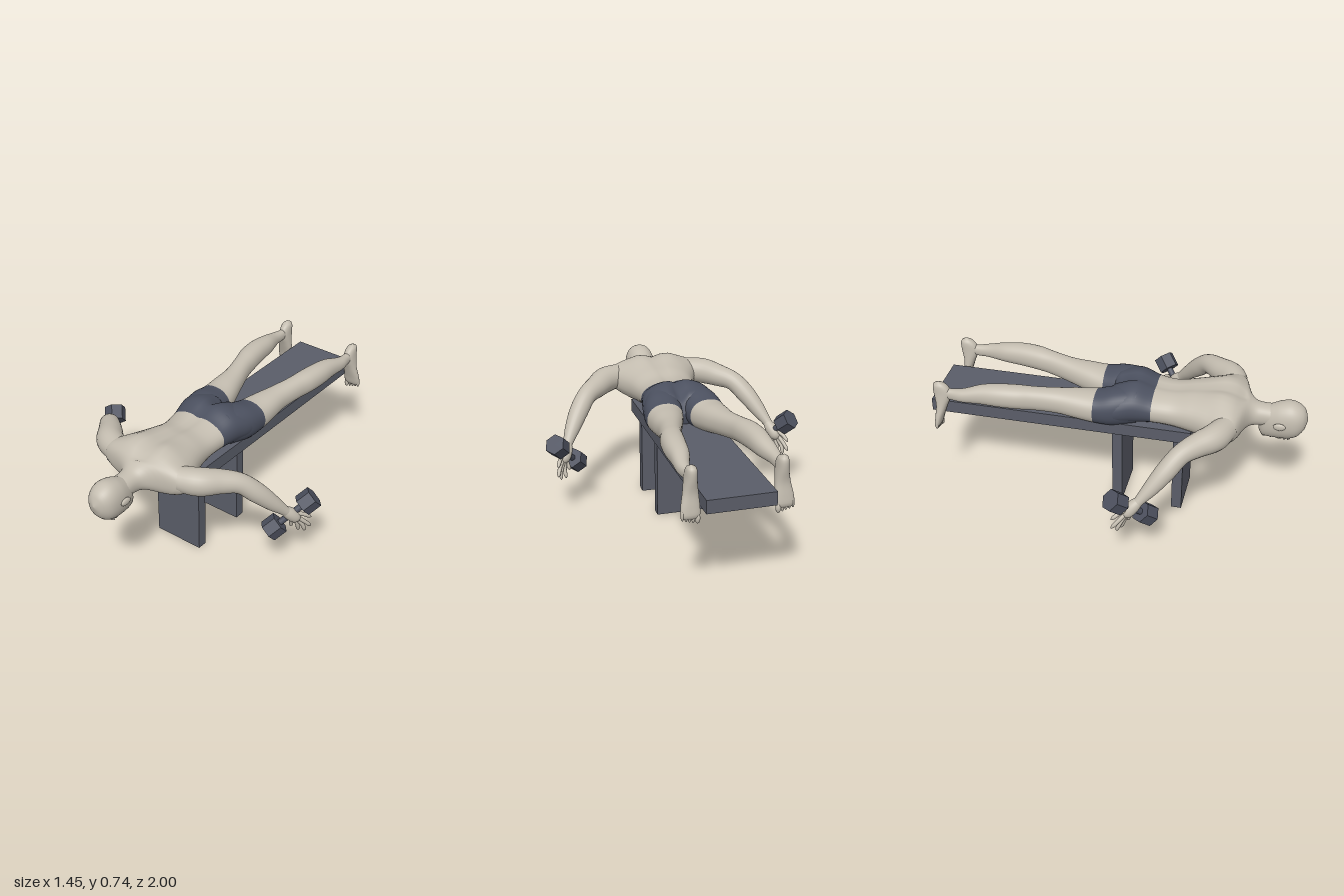
import * as THREE from 'three';
import { mergeVertices } from 'three/addons/utils/BufferGeometryUtils.js';

const mat = (name, color) => Object.assign(new THREE.MeshStandardMaterial({ color }), { name });

// smooth value of every column of a table whose first column is the position
function sample(table, t) {
  let i = 0;
  while (i < table.length - 2 && t > table[i + 1][0]) i++;
  const a = table[i], b = table[i + 1], p = table[i - 1] || a, n = table[i + 2] || b;
  const h = b[0] - a[0], k = THREE.MathUtils.clamp((t - a[0]) / h, 0, 1), k2 = k * k, k3 = k2 * k;
  return a.map((v, c) => {
    const m0 = (b[c] - p[c]) / (b[0] - p[0]) * h, m1 = (n[c] - v) / (n[0] - a[0]) * h;
    return (2 * k3 - 3 * k2 + 1) * v + (k3 - 2 * k2 + k) * m0 + (3 * k2 - 2 * k3) * b[c] + (k3 - k2) * m1;
  });
}

// skin over rounded slices [z, x0, x1, y0, y1] between two z values
function loft(table, z0, z1, { s = 1, cap0 = false, cap1 = false, n = 2.2, rule } = {}) {
  const rings = Math.max(6, Math.ceil((z1 - z0) / 0.0125)), seg = 40, pos = [], idx = [];
  const round = v => Math.sign(v) * Math.abs(v) ** (2 / n);
  for (let i = 0; i <= rings; i++) {
    const z = z0 + (z1 - z0) * i / rings;
    const [, x0, x1, y0, y1] = sample(table, z);
    for (let j = 0; j < seg; j++) {
      const a = j / seg * Math.PI * 2, up = Math.sin(a);
      const x = s * (x0 + x1) / 2 + round(Math.cos(a)) * (x1 - x0) / 2;
      let y = (y0 + y1) / 2 + round(up) * (y1 - y0) / 2;
      if (rule) y += rule(x, z) * Math.max(0, Math.min(1, up * 2));
      pos.push(x, y, z);
      if (i < rings) {
        const p = i * seg + j, q = i * seg + (j + 1) % seg;
        idx.push(p, q, q + seg, p, q + seg, p + seg);
      }
    }
  }
  const cap = (z, first, flip) => {
    const [, x0, x1, y0, y1] = sample(table, z), c = pos.length / 3;
    pos.push(s * (x0 + x1) / 2, (y0 + y1) / 2, z);
    for (let j = 0; j < seg; j++) {
      const p = first + j, q = first + (j + 1) % seg;
      idx.push(c, flip ? q : p, flip ? p : q);
    }
  };
  if (cap0) cap(z0, 0, true);
  if (cap1) cap(z1, rings * seg, false);
  const g = new THREE.BufferGeometry();
  g.setAttribute('position', new THREE.Float32BufferAttribute(pos, 3));
  g.setIndex(idx);
  g.computeVertexNormals();
  return g;
}

// tube along points with radius rows [u, r]
function limb(points, radii, s, rings = 40, seg = 24) {
  const curve = new THREE.CatmullRomCurve3(points.map(([x, y, z]) => new THREE.Vector3(s * x, y, z)));
  let g = new THREE.TubeGeometry(curve, rings, 1, seg);
  const p = g.attributes.position, v = new THREE.Vector3();
  for (let i = 0; i < p.count; i++) {
    const u = Math.floor(i / (seg + 1)) / rings, c = curve.getPointAt(u);
    v.fromBufferAttribute(p, i).sub(c).multiplyScalar(Math.max(0.0003, sample(radii, u)[1])).add(c);
    p.setXYZ(i, v.x, v.y, v.z);
  }
  g.deleteAttribute('uv');
  g.deleteAttribute('normal');
  g = mergeVertices(g, 1e-5);
  g.computeVertexNormals();
  return g;
}

const bump = (x, w) => Math.exp(-((x / w) ** 2));

// symmetric slices: [z, half width, bottom, top]
const symmetric = rows => rows.map(([z, w, a, b]) => [z, -w, w, a, b]);
const torso = symmetric([
  [-0.05, 0.13, 0.54, 0.64], [-0.03, 0.19, 0.51, 0.685], [0, 0.209, 0.5, 0.708], [0.1, 0.192, 0.505, 0.735],
  [0.2, 0.172, 0.515, 0.7], [0.3, 0.163, 0.505, 0.692], [0.4, 0.182, 0.49, 0.71], [0.5, 0.222, 0.483, 0.72],
  [0.57, 0.258, 0.492, 0.722], [0.62, 0.272, 0.505, 0.715], [0.655, 0.23, 0.52, 0.7], [0.68, 0.14, 0.53, 0.69],
  [0.705, 0.085, 0.535, 0.675], [0.74, 0.062, 0.538, 0.66], [0.82, 0.06, 0.54, 0.655]]);
const head = symmetric([
  [0.748, 0.02, 0.51, 0.56], [0.765, 0.045, 0.478, 0.61], [0.79, 0.06, 0.472, 0.648], [0.82, 0.07, 0.472, 0.665],
  [0.86, 0.079, 0.474, 0.682], [0.91, 0.081, 0.478, 0.69], [0.95, 0.072, 0.495, 0.677],
  [0.98, 0.05, 0.53, 0.653], [0.993, 0.029, 0.56, 0.627], [0.999, 0.004, 0.588, 0.597]]);
const leg = [
  [-0.93, 0.205, 0.25, 0.6, 0.66], [-0.87, 0.202, 0.25, 0.59, 0.652], [-0.8, 0.195, 0.263, 0.588, 0.662],
  [-0.7, 0.165, 0.264, 0.585, 0.69], [-0.6, 0.15, 0.267, 0.58, 0.703], [-0.5, 0.135, 0.257, 0.575, 0.703],
  [-0.42, 0.122, 0.235, 0.568, 0.695], [-0.3, 0.085, 0.213, 0.55, 0.685], [-0.2, 0.05, 0.215, 0.53, 0.683],
  [-0.1, 0.02, 0.216, 0.512, 0.682], [0, 0.003, 0.21, 0.502, 0.705], [0.12, 0.01, 0.175, 0.52, 0.715]];
// foot slices run downward: [-y, x0, x1, z0, z1]
const foot = [
  [-0.69, 0.222, 0.232, -0.935, -0.925], [-0.68, 0.205, 0.246, -0.955, -0.9], [-0.66, 0.198, 0.252, -0.962, -0.878],
  [-0.62, 0.195, 0.256, -0.96, -0.863], [-0.55, 0.19, 0.266, -0.95, -0.888], [-0.48, 0.186, 0.28, -0.957, -0.913],
  [-0.44, 0.187, 0.281, -0.96, -0.925], [-0.425, 0.195, 0.272, -0.953, -0.935]];

// spine groove, buttock cleft and shoulder blades
const back = (x, z) => {
  const depth = z > 0.68 ? 0 : 0.012 + 0.04 * bump(z + 0.02, 0.1);
  return -depth * bump(x, 0.028) + 0.018 * bump(Math.abs(x) - 0.085, 0.06) * bump(z - 0.56, 0.08);
};

export function createModel() {
  const model = new THREE.Group();
  const skin = mat('skin', 0xc4bdb0), cloth = mat('shorts', 0x4b505f);
  const board = mat('bench', 0x5a5d68), iron = mat('iron', 0x4d515f);
  const add = (name, geometry, material) => {
    const m = new THREE.Mesh(geometry, material);
    m.name = name;
    model.add(m);
    return m;
  };
  const ball = (name, [x, y, z], [a, b, c]) =>
    add(name, new THREE.SphereGeometry(1, 20, 14).scale(a, b, c).translate(x, y, z), skin);

  // bench
  add('benchTop', new THREE.BoxGeometry(0.35, 0.07, 1.415).translate(0, 0.5, -0.2925), board);
  for (const z of [0.348, 0.018])
    add('benchLeg', new THREE.BoxGeometry(0.28, 0.466, 0.055).translate(0, 0.233, z), board);

  // trunk and head, face down
  add('torso', loft(torso, 0.2, 0.82, { rule: back }), skin);
  add('shortsSeat', loft(torso, -0.05, 0.2, { cap0: true, rule: back }), cloth);
  add('head', loft(head, 0.748, 0.999, { cap0: true, cap1: true }), skin);
  ball('nose', [0, 0.472, 0.86], [0.013, 0.019, 0.022]);
  ball('lips', [0, 0.474, 0.815], [0.023, 0.009, 0.011]);
  ball('chin', [0, 0.484, 0.78], [0.028, 0.018, 0.018]);
  ball('brow', [0, 0.488, 0.91], [0.052, 0.014, 0.012]);

  for (const s of [1, -1]) {
    const side = s > 0 ? 'left' : 'right';
    ball(side + 'Ear', [s * 0.083, 0.582, 0.86], [0.011, 0.02, 0.033]).rotation.set(0, 0, 0);
    ball(side + 'EyeLid', [s * 0.03, 0.484, 0.888], [0.014, 0.009, 0.008]);

    // legs and feet
    add(side + 'ShortsLeg', loft(leg, -0.1, 0.12, { s }), cloth);
    add(side + 'Leg', loft(leg, -0.93, -0.1, { s }), skin);
    add(side + 'Foot', loft(foot, -0.69, -0.425, { s, cap0: true, cap1: true }).rotateX(Math.PI / 2), skin);
    for (let i = 0; i < 5; i++) {
      const r = i ? 0.0085 : 0.013;
      ball(side + 'Toe', [s * (0.2 + i * 0.0175 + (i ? 0.004 : 0)), 0.424 + i * 0.005, -0.944], [r, 0.027, r + 0.002]);
    }

    // arm
    add(side + 'Arm', limb(
      [[0.2, 0.62, 0.6], [0.29, 0.615, 0.555], [0.36, 0.605, 0.48], [0.43, 0.585, 0.41], [0.49, 0.52, 0.35],
        [0.545, 0.44, 0.285], [0.585, 0.375, 0.23], [0.6, 0.345, 0.205]],
      [[0, 0.065], [0.15, 0.072], [0.31, 0.063], [0.46, 0.053], [0.62, 0.052], [0.79, 0.041], [0.92, 0.027], [1, 0.022]],
      s), skin);

    // hand with open fingers
    add(side + 'Palm', limb([[0.578, 0.385, 0.24], [0.604, 0.335, 0.193], [0.625, 0.295, 0.163]],
      [[0, 0.022], [0.4, 0.033], [0.75, 0.031], [0.93, 0.018], [1, 0]], s, 20), skin);
    const digits = [
      [[0.612, 0.35, 0.19], [0.645, 0.325, 0.14], [0.664, 0.297, 0.105]],
      [[0.622, 0.32, 0.175], [0.65, 0.275, 0.135], [0.663, 0.24, 0.105]],
      [[0.617, 0.31, 0.175], [0.64, 0.255, 0.145], [0.643, 0.213, 0.13]],
      [[0.61, 0.31, 0.18], [0.617, 0.255, 0.16], [0.612, 0.213, 0.145]],
      [[0.6, 0.325, 0.195], [0.595, 0.28, 0.185], [0.586, 0.247, 0.175]]];
    for (const d of digits)
      add(side + 'Finger', limb(d, [[0, 0.012], [0.5, 0.0105], [0.88, 0.009], [1, 0]], s, 14, 12), skin);

    // hexagonal dumbbell
    const a = new THREE.Vector3(s * 0.655, 0.41, 0.13), b = new THREE.Vector3(s * 0.538, 0.267, 0.258);
    const turn = new THREE.Quaternion().setFromUnitVectors(new THREE.Vector3(0, 1, 0), b.clone().sub(a).normalize());
    const rod = (name, r, len, n, at) => {
      const g = new THREE.CylinderGeometry(r, r, len, n).toNonIndexed();
      if (n === 6) g.computeVertexNormals();
      add(name, g.applyQuaternion(turn).translate(at.x, at.y, at.z), iron);
    };
    rod(side + 'DumbbellHead', 0.058, 0.08, 6, a);
    rod(side + 'DumbbellHead', 0.058, 0.08, 6, b);
    rod(side + 'DumbbellHandle', 0.017, 0.17, 16, a.clone().add(b).multiplyScalar(0.5));
  }
  return model;
}
